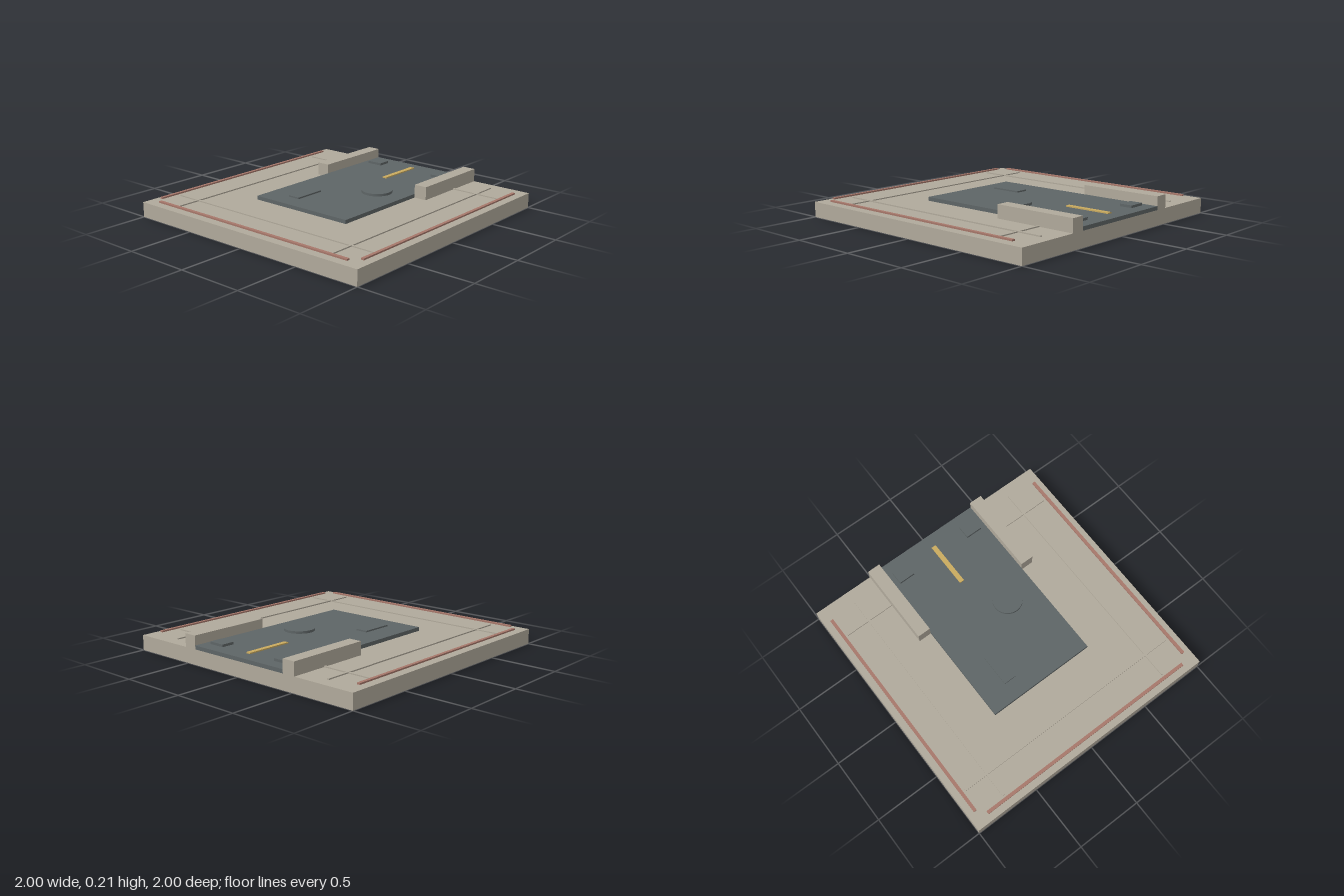
import * as THREE from 'three';

export function createModel() {
  const model = new THREE.Group();
  model.name = 'landingPlatform';

  const material = (name, color) => {
    const m = new THREE.MeshStandardMaterial({ color });
    m.name = name;
    return m;
  };
  const stone = material('warm stone', 0xb0a99b);
  const slate = material('dark slate', 0x5e6566);
  const rust = material('rust red', 0xa6776a);
  const gold = material('marking gold', 0xc9aa5f);

  const add = (name, geometry, mat, x, y, z) => {
    const mesh = new THREE.Mesh(geometry, mat);
    mesh.name = name;
    mesh.position.set(x, y, z);
    model.add(mesh);
  };
  // Box given by its lower and upper limits on each axis
  const box = (name, mat, [x0, x1], [y0, y1], [z0, z1]) =>
    add(name, new THREE.BoxGeometry(x1 - x0, y1 - y0, z1 - z0), mat,
      (x0 + x1) / 2, (y0 + y1) / 2, (z0 + z1) / 2);

  const top = 0.112, deckTop = 0.14;

  // Base slab and raised deck
  box('baseSlab', stone, [-1, 1], [0, top], [-1, 1]);
  box('deck', slate, [-0.42, 1], [top, deckTop], [-0.42, 0.42]);

  // Parts mirrored front to back
  for (const s of [-1, 1]) {
    const strip = (z, half) => [s * z - half, s * z + half];
    box('sideWall', stone, [0.36, 1], [top, 0.21], strip(0.47, 0.05));
    box('edgeRail', rust, [-0.88, 0.88], [0.121, 0.132], strip(0.94, 0.012));
    box('longRib', stone, [-0.91, 0.91], [top, 0.121], strip(0.72, 0.008));
    box('deckPad', slate, [0.805, 0.905], [deckTop, 0.158], strip(0.31, 0.063));
    box('crossRib', stone, strip(0.72, 0.008), [top, 0.12], [-0.91, 0.91]);
  }
  box('endRail', rust, [-0.952, -0.928], [0.121, 0.132], [-0.88, 0.88]);

  // Deck fittings
  box('hatch', slate, [-0.285, -0.045], [deckTop, 0.151], [-0.23, -0.135]);
  box('centreStripe', gold, [0.54, 0.9], [deckTop, 0.149], [-0.018, 0.018]);
  add('roundHatch', new THREE.CylinderGeometry(0.113, 0.113, 0.018, 48), slate,
    0.22, deckTop + 0.009, 0.18);

  return model;
}
